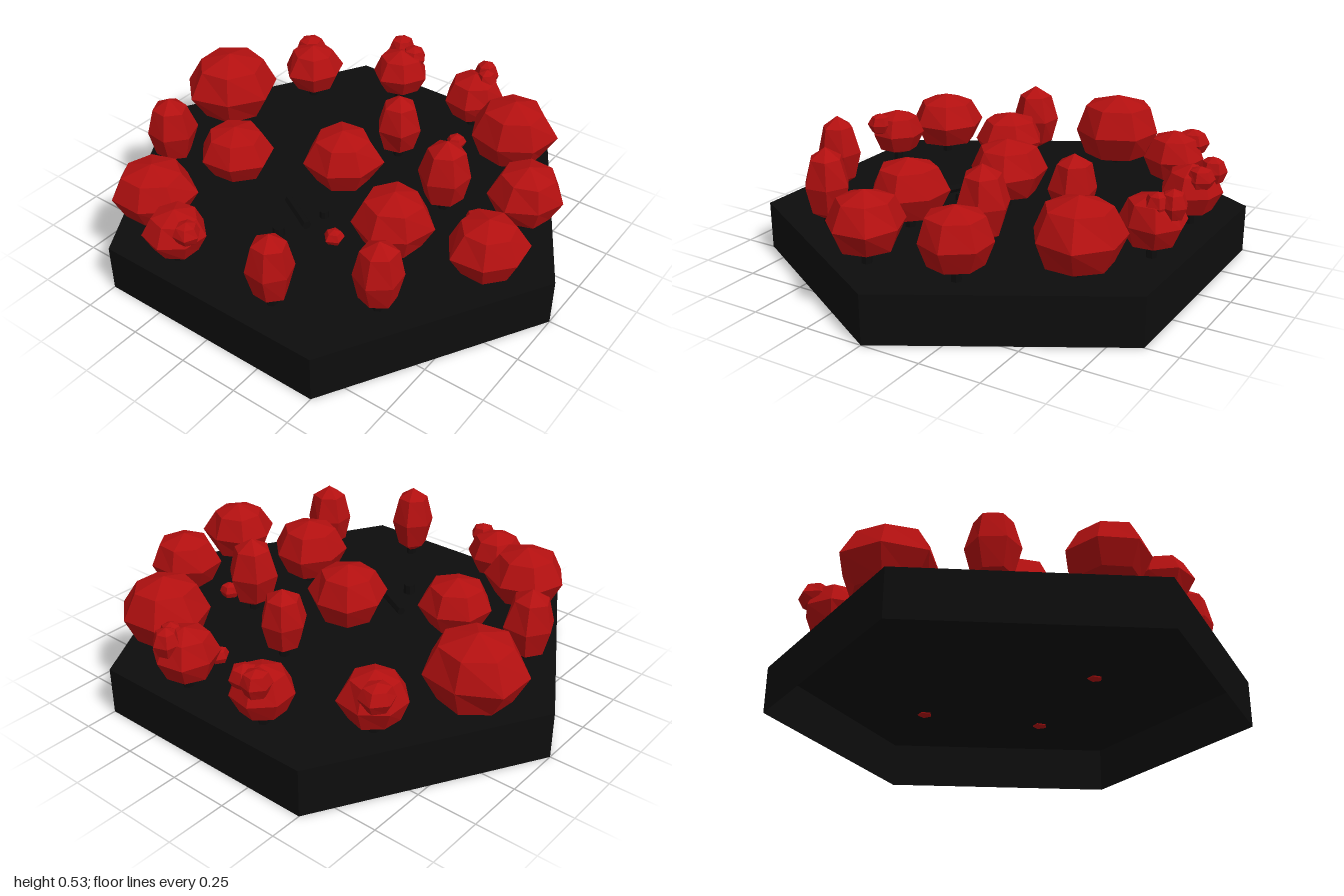
import * as THREE from 'three';

const leafRed = new THREE.MeshStandardMaterial({ name: 'leafRed', color: 0xb31010, flatShading: true });
const charcoal = new THREE.MeshStandardMaterial({ name: 'charcoal', color: 0x0d0d0d, flatShading: true, side: THREE.DoubleSide });

const GROUND = 0.2;

// x, z, radius, bottom, top, sides
const TREES = [
  [0, 0, 0.168, 0.22, 0.49, 7],
  [-0.74, -0.15, 0.2, 0.2, 0.52, 7],
  [0.47, -0.58, 0.182, 0.21, 0.51, 7],
  [-0.39, 0.22, 0.158, 0.23, 0.47, 7],
  [0.4, 0.21, 0.158, 0.22, 0.49, 7],
  [0.77, 0.14, 0.158, 0.23, 0.49, 7],
  [0.73, -0.23, 0.15, 0.23, 0.49, 7],
  [-0.47, 0.62, 0.168, 0.22, 0.48, 7],
  [-0.21, -0.73, 0.13, 0.23, 0.45, 7],
  [0.18, -0.74, 0.128, 0.23, 0.46, 7],
  [-0.55, -0.51, 0.135, 0.23, 0.46, 7],
  [-0.24, 0.74, 0.125, 0.23, 0.44, 7],
  [-0.71, 0.27, 0.108, 0.2, 0.51, 6],
  [0.05, -0.34, 0.1, 0.21, 0.5, 6],
  [0.41, -0.14, 0.108, 0.21, 0.53, 6],
  [0.54, 0.51, 0.1, 0.21, 0.52, 6],
  [0.21, 0.72, 0.092, 0.21, 0.53, 6],
];

// Small leaf clumps growing out of some crowns
const CLUMPS = [
  [-0.25, -0.8, 0.062, 0.36, 0.48, 6],
  [-0.17, -0.78, 0.06, 0.35, 0.46, 6],
  [0.19, -0.82, 0.055, 0.36, 0.49, 6],
  [0.22, -0.77, 0.05, 0.37, 0.48, 6],
  [-0.61, -0.57, 0.07, 0.34, 0.46, 6],
  [-0.15, 0.77, 0.055, 0.34, 0.44, 6],
];

const BUSHES = [
  [0.22, -0.54, 0.045, 0.185, 0.26, 5],
  [0.57, -0.13, 0.045, 0.185, 0.26, 5],
  [0.18, 0.3, 0.042, 0.185, 0.255, 5],
];

// Faceted blob; equal positions get equal nudges so no cracks open
function crown([x, z, r, bottom, top, sides], name, seed) {
  const geo = new THREE.SphereGeometry(1, sides, 4);
  const p = geo.attributes.position;
  for (let i = 0; i < p.count; i++) {
    const [a, b, c] = [p.getX(i), p.getY(i), p.getZ(i)].map((v) => Math.round(v * 100) / 100);
    const n = 1 + 0.06 * Math.sin(a * 7.3 + b * 5.1 + c * 9.7 + seed * 2.4);
    p.setXYZ(i, a * n, b, c * n);
  }
  geo.rotateY(seed * 1.3);
  geo.scale(r, (top - bottom) / 2, r);
  const mesh = new THREE.Mesh(geo, leafRed);
  mesh.name = name;
  mesh.position.set(x, (top + bottom) / 2, z);
  return mesh;
}

function post(name, x, z, radius, height, sides = 6) {
  const mesh = new THREE.Mesh(new THREE.CylinderGeometry(radius * 0.9, radius, height, sides), charcoal);
  mesh.name = name;
  mesh.position.set(x, GROUND + height / 2, z);
  return mesh;
}

export function createModel() {
  const model = new THREE.Group();
  model.name = 'forestTile';

  // Hexagonal tile: walls and top, open underneath
  const walls = new THREE.Mesh(new THREE.CylinderGeometry(1, 1, GROUND, 6, 1, true, Math.PI / 6 * 3), charcoal);
  walls.name = 'tileWalls';
  walls.position.y = GROUND / 2;
  const top = new THREE.Mesh(new THREE.CircleGeometry(1, 6), charcoal);
  top.name = 'tileTop';
  top.rotation.x = -Math.PI / 2;
  top.position.y = GROUND;
  model.add(walls, top);

  // Trees
  TREES.forEach((t, i) => {
    const tree = new THREE.Group();
    tree.name = 'tree';
    tree.add(crown(t, 'crown', i), post('trunk', t[0], t[1], 0.022, 0.1));
    model.add(tree);
  });
  CLUMPS.forEach((c, i) => model.add(crown(c, 'leafClump', i + 20)));
  BUSHES.forEach((b, i) => model.add(crown(b, 'bush', i + 30)));

  // Fallen log and stumps in the clearing
  const log = new THREE.Mesh(new THREE.CylinderGeometry(0.018, 0.02, 0.19, 6), charcoal);
  log.name = 'fallenLog';
  log.rotation.set(0, -0.5, Math.PI / 2);
  log.position.set(-0.035, GROUND + 0.018, 0.26);
  model.add(log, post('stump', -0.02, 0.4, 0.026, 0.04, 8), post('smallStump', 0.055, 0.2, 0.02, 0.03, 8));

  return model;
}
